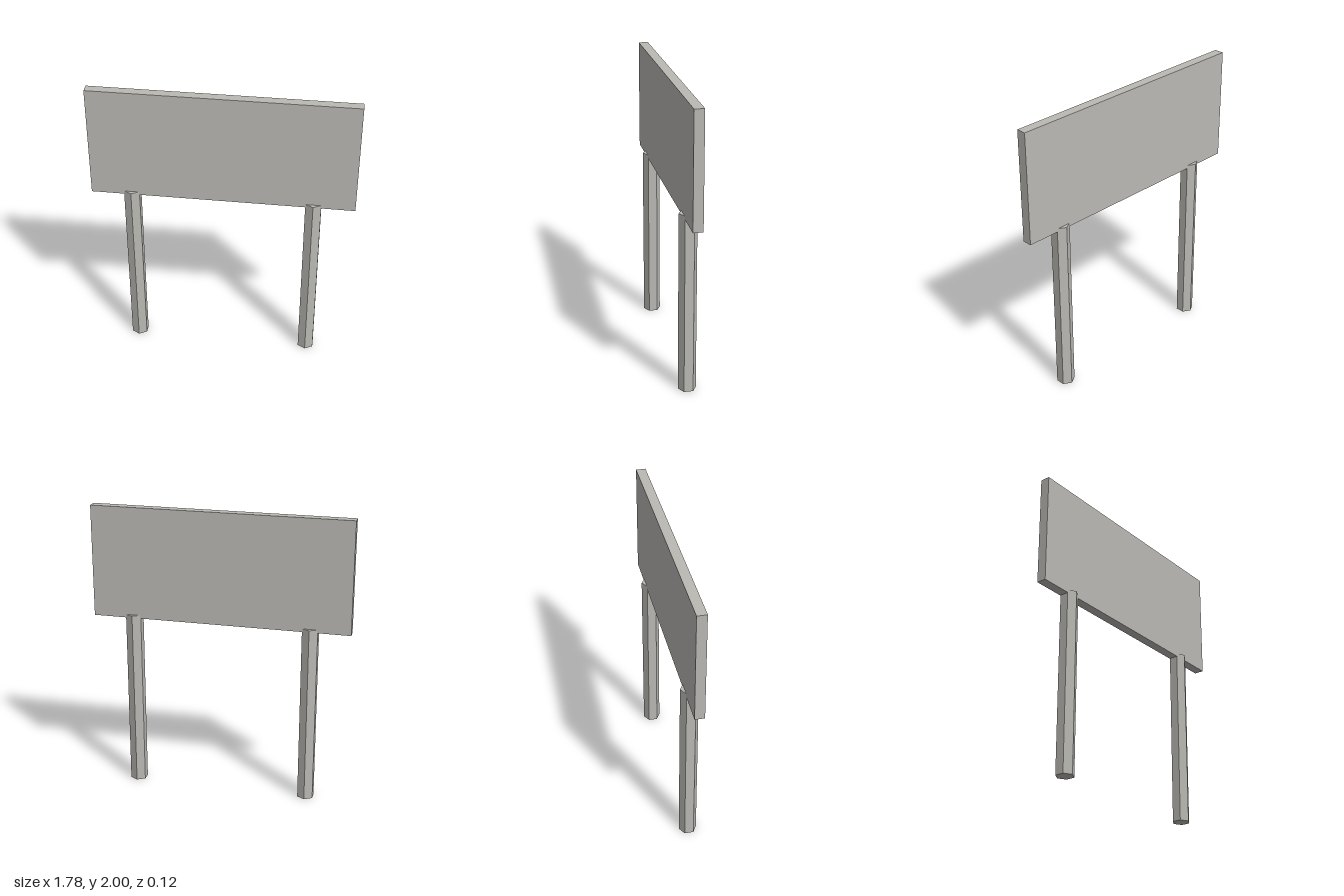
import * as THREE from 'three';

export function createModel() {
  const model = new THREE.Group();
  model.name = 'signboard';
  const grey = new THREE.MeshStandardMaterial({ color: 0xbab9b4, flatShading: true });
  grey.name = 'warm grey';

  // Flat board
  const board = new THREE.Mesh(new THREE.BoxGeometry(1.776, 0.772, 0.066), grey);
  board.name = 'board';
  board.position.y = 1.614;
  model.add(board);

  // Two hexagonal posts, overlapping the lower edge of the board
  const postHeight = 1.25;
  const postGeometry = new THREE.CylinderGeometry(0.061, 0.061, postHeight, 6);
  for (const [name, x] of [['leftPost', 0.609], ['rightPost', -0.613]]) {
    const post = new THREE.Mesh(postGeometry, grey);
    post.name = name;
    post.position.set(x, postHeight / 2, 0);
    model.add(post);
  }
  return model;
}
